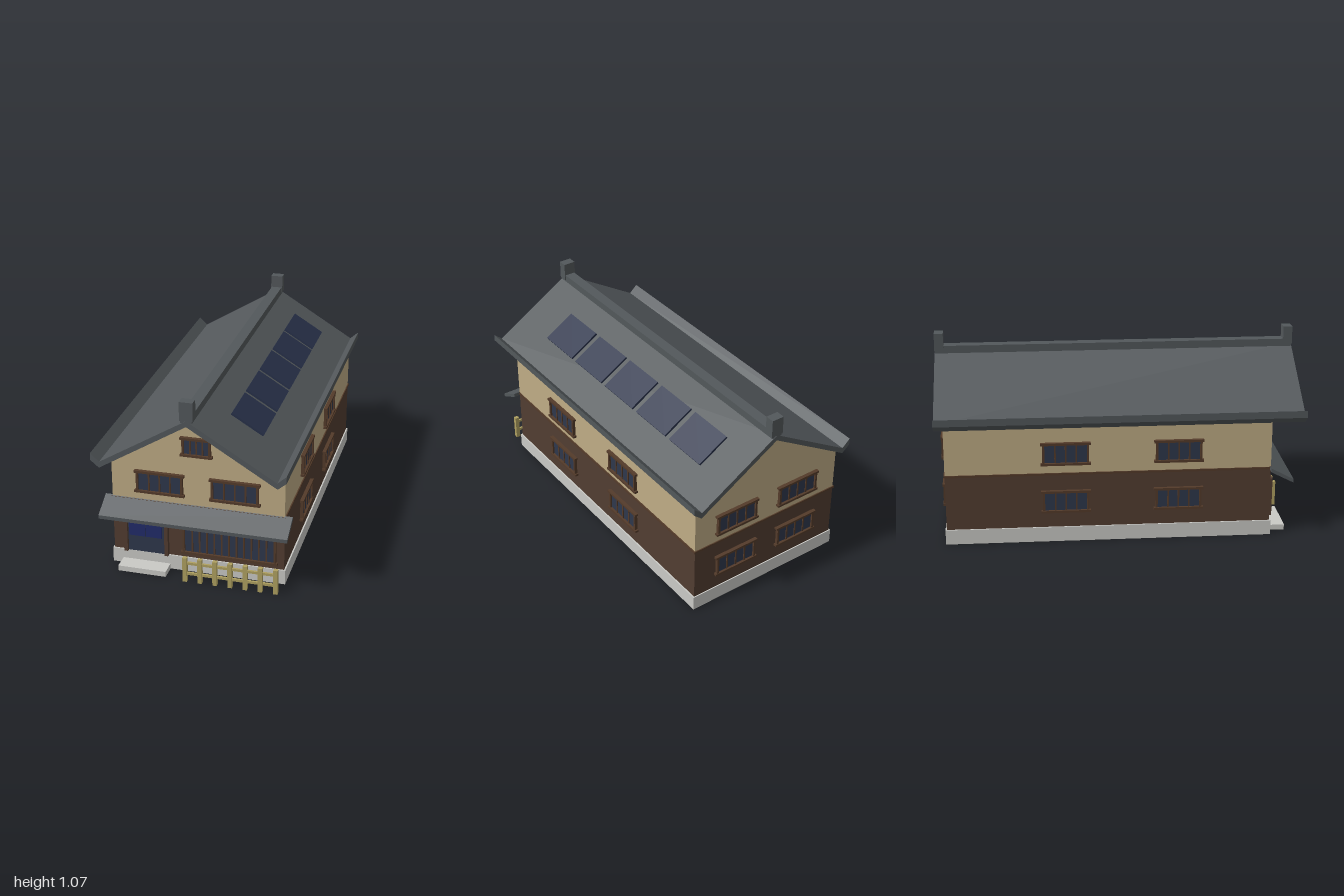
import * as THREE from 'three';

const mat = (name, color) => {
  const m = new THREE.MeshStandardMaterial({ color });
  m.name = name;
  return m;
};

export function createModel() {
  const stone = mat('stone', 0xcacac6);
  const timber = mat('dark timber cladding', 0x523d31);
  const plaster = mat('plaster', 0xbfac85);
  const tile = mat('roof tile', 0x53585b);
  const frame = mat('window frame', 0x543b2a);
  const glass = mat('glass', 0x2e374c);
  const solar = mat('solar panel', 0x28314a);
  const cloth = mat('blue cloth', 0x212c6a);
  const bamboo = mat('bamboo', 0xb0a161);

  const house = new THREE.Group();
  house.name = 'house';

  // Box given by its minimum and maximum on each axis
  const box = (parent, name, material, x0, x1, y0, y1, z0, z1) => {
    const mesh = new THREE.Mesh(new THREE.BoxGeometry(x1 - x0, y1 - y0, z1 - z0), material);
    mesh.position.set((x0 + x1) / 2, (y0 + y1) / 2, (z0 + z1) / 2);
    mesh.name = name;
    parent.add(mesh);
    return mesh;
  };
  // Outline in x, y extruded from z0 to z1
  const prism = (name, material, points, z0, z1) => {
    const shape = new THREE.Shape(points.map(([x, y]) => new THREE.Vector2(x, y)));
    const geometry = new THREE.ExtrudeGeometry(shape, { depth: z1 - z0, bevelEnabled: false });
    geometry.translate(0, 0, z0);
    const mesh = new THREE.Mesh(geometry, material);
    mesh.name = name;
    house.add(mesh);
    return mesh;
  };
  const group = (name) => {
    const g = new THREE.Group();
    g.name = name;
    house.add(g);
    return g;
  };

  const W = 0.467, FRONT = 0.82, BACK = -0.95;

  // Foundation, walls and trim
  box(house, 'foundation', stone, -0.475, 0.475, 0, 0.083, -0.957, 0.828);
  box(house, 'doorStep', stone, -0.417, -0.153, 0, 0.03, 0.82, 0.917);
  box(house, 'lowerWalls', timber, -W, W, 0.083, 0.39, BACK, FRONT);
  prism('upperWalls', plaster, [[-W, 0.39], [W, 0.39], [W, 0.655], [0, 0.94], [-W, 0.655]], BACK, FRONT);
  box(house, 'trimBand', frame, -W - 0.006, W + 0.006, 0.385, 0.397, BACK - 0.006, FRONT + 0.006);

  // Main roof with upturned eaves
  prism('roof', tile, [
    [0, 0.936], [0.467, 0.651], [0.512, 0.689], [0.512, 0.728], [0.465, 0.685],
    [0, 0.968], [-0.465, 0.685], [-0.512, 0.728], [-0.512, 0.689], [-0.467, 0.651],
  ], -1, 1);
  box(house, 'ridgeBeam', tile, -0.03, 0.03, 0.955, 0.997, -0.998, 0.998);
  for (const s of [-1, 1]) {
    box(house, 'ridgeEnd', tile, -0.035, 0.035, 0.966, 1.068, s * 0.975 - 0.025, s * 0.975 + 0.025);
  }

  // Canopy over the entrance, drawn in side section
  const canopy = prism('canopy', tile, [[0.815, 0.402], [0.815, 0.38], [0.94, 0.316], [0.94, 0.336]], -0.507, 0.507);
  canopy.geometry.rotateY(-Math.PI / 2);

  // Solar panels on the right-hand slope of the front view
  for (let i = 0; i < 5; i++) {
    const panel = box(house, 'solarPanel', solar, -0.1, 0.1, -0.006, 0.006, -0.133, 0.133);
    panel.position.set(0.236, 0.84, 0.565 - i * 0.3045);
    panel.rotation.z = -Math.atan(0.609);
  }

  // Barred window facing +z, its back on the wall
  const addWindow = (name, w, h, panes, x, y, z, turn = 0) => {
    const g = group(name);
    const a = w / 2, b = h / 2, rail = 0.013, inner = a - 0.021;
    box(g, 'glass', glass, -inner, inner, -b + rail, b - rail, -0.002, 0.007);
    for (const s of [-1, 1]) {
      const ry = s * (b - rail / 2), px = s * (a - 0.015);
      box(g, 'rail', frame, -a, a, ry - rail / 2, ry + rail / 2, -0.002, 0.02);
      box(g, 'post', frame, px - 0.006, px + 0.006, -b + rail, b - rail, -0.002, 0.017);
    }
    for (let i = 1; i < panes; i++) {
      const mx = -inner + (2 * inner * i) / panes;
      box(g, 'bar', frame, mx - 0.0042, mx + 0.0042, -b + rail, b - rail, -0.002, 0.012);
    }
    g.position.set(x, y, z);
    g.rotation.y = turn;
  };

  addWindow('gableWindow', 0.172, 0.107, 4, 0, 0.74, FRONT);
  addWindow('frontLattice', 0.524, 0.197, 12, 0.172, 0.2085, FRONT);
  for (const s of [-1, 1]) {
    addWindow('frontWindow', 0.272, 0.127, 4, s * 0.203, 0.508, FRONT);
    for (const y of [0.508, 0.234]) {
      addWindow('backWindow', 0.272, 0.127, 4, s * 0.203, y, BACK, Math.PI);
      for (const z of [0.313, -0.3]) {
        addWindow('sideWindow', 0.27, 0.127, 4, s * W, y, z, s * Math.PI / 2);
      }
    }
  }

  // Entrance with its split curtain
  const door = group('entrance');
  box(door, 'doorPanel', glass, -0.387, -0.178, 0.083, 0.288, 0.815, 0.827);
  box(door, 'lintel', timber, -0.405, -0.16, 0.287, 0.304, 0.815, 0.845);
  box(door, 'leftJamb', timber, -0.18, -0.16, 0.083, 0.287, 0.815, 0.845);
  box(door, 'rightJamb', timber, -0.405, -0.385, 0.083, 0.287, 0.815, 0.845);
  box(door, 'curtainRod', frame, -0.385, -0.18, 0.279, 0.286, 0.832, 0.838);
  for (const x of [-0.38, -0.284, -0.187]) {
    box(door, 'rodHook', frame, x - 0.004, x + 0.004, 0.268, 0.287, 0.828, 0.843);
  }
  box(door, 'curtainHalf', cloth, -0.375, -0.286, 0.184, 0.284, 0.837, 0.842);
  box(door, 'curtainHalf', cloth, -0.282, -0.194, 0.184, 0.284, 0.837, 0.842);

  // Bamboo fence
  const fence = group('fence');
  for (let i = 0; i < 7; i++) {
    const x = -0.042 + i * 0.0815;
    box(fence, 'fencePost', bamboo, x - 0.012, x + 0.012, 0, 0.142, 0.914, 0.936);
  }
  for (const y of [0.048, 0.11]) {
    box(fence, 'fenceRail', bamboo, -0.05, 0.455, y - 0.007, y + 0.007, 0.919, 0.931);
  }

  return house;
}
